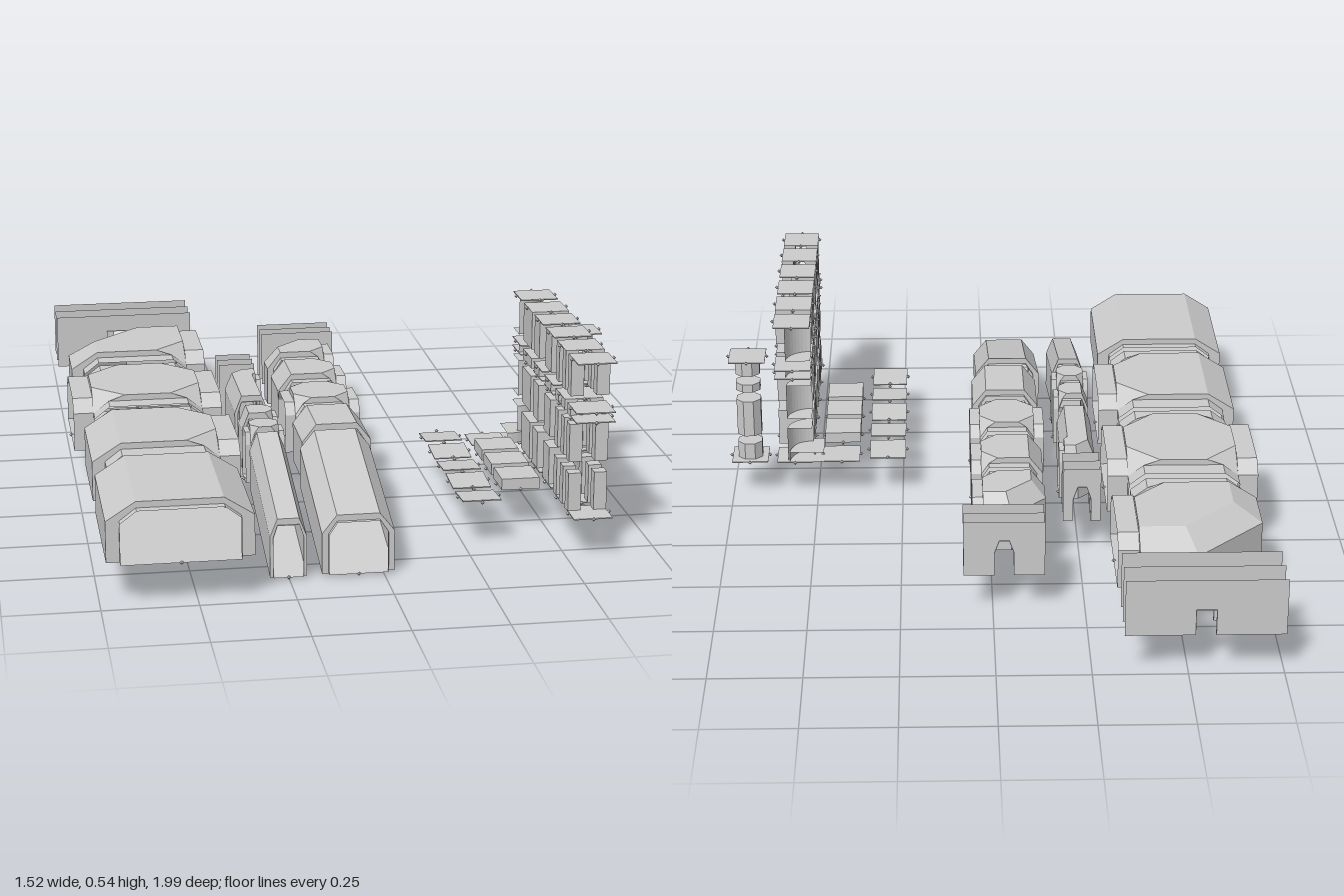
import * as THREE from 'three';

const mat = new THREE.MeshStandardMaterial({ color: 0xcccccc, flatShading: true, side: THREE.DoubleSide });
const BASE = 0.112, H1 = 0.11, H3 = 0.143, H2 = 0.16;

function add(group, geo, name, x = 0, y = 0, z = 0) {
  const m = new THREE.Mesh(geo, mat);
  m.name = name;
  m.position.set(x, y, z);
  group.add(m);
  return m;
}

// Collects quads and fans into one flat-shaded surface
class Surface {
  constructor() { this.p = []; }
  fan(pts) {
    for (let i = 1; i < pts.length - 1; i++) this.p.push(...pts[0], ...pts[i], ...pts[i + 1]);
  }
  strip(a, b) {
    for (let i = 0; i < a.length - 1; i++) this.fan([a[i], a[i + 1], b[i + 1], b[i]]);
  }
  build(drop, zEnd) {
    // Ramps sink linearly towards the front, staying level at the collars
    if (drop) for (let i = 0; i < this.p.length; i += 3) {
      const t = THREE.MathUtils.clamp((this.p[i + 2] + zEnd) / (2 * zEnd), 0, 1);
      this.p[i + 1] -= drop * t;
    }
    const g = new THREE.BufferGeometry();
    g.setAttribute('position', new THREE.Float32BufferAttribute(this.p, 3));
    g.computeVertexNormals();
    return g;
  }
}

function marker(group, x, y, z) {
  add(group, new THREE.OctahedronGeometry(0.006), 'connectionMarker', x, y, z);
}

// Tunnel piece. open lists the sides (+x, +z, -x, -z) with a collar; s is the size of one cell.
function tunnel(parent, name, cx, cz, s, open, { half, drop = 0 } = {}) {
  const a = 0.155 * s, b = 0.19 * s, r = 0.112 * s, c = 0.09 * s, reach = 0.212 * s;
  const end = half ? half - 0.026 * s : a;          // distance of the open end walls
  const tip = half || reach;                        // distance of the collar mouths
  const g = new THREE.Group();
  g.name = name;
  g.position.set(cx, BASE, cz);
  const surf = new Surface(), foot = [], roof = [], sideOf = [];
  // Corner i lies between side i and side i + 1; u and v run along those sides' directions
  const dir = [[1, 0], [0, 1], [-1, 0], [0, -1]];
  for (let i = 0; i < 4; i++) {
    const j = (i + 1) % 4, A = open[i], B = open[j];
    const at = (u, v) => [dir[i][0] * u + dir[j][0] * v, dir[i][1] * u + dir[j][1] * v];
    const put = (f, t, side) => { foot.push(at(...f)); roof.push(at(...t)); sideOf.push(side); };
    if (A && B) {
      put([a, a], [a, a - c], -1);
      put([a, a], [a - c, a], j);
    } else if (!A && !B) {
      put([b, 0], [r, -0.03 * s], -1);
      put([0, b], [-0.03 * s, r], j);
    } else if (A) put([end, b], [end, r], j);
    else put([b, end], [r, end], j);
  }
  const P = ([x, z], y) => [x, y, z];
  foot.forEach((f, i) => {
    const k = (i + 1) % foot.length, side = sideOf[i];
    const outer = [P(f, 0), P(f, H1), P(roof[i], H2), P(roof[k], H2), P(foot[k], H1), P(foot[k], 0)];
    if (side < 0 || !open[side]) {
      // Closed wall with its sloping shoulder
      surf.fan([outer[0], outer[1], outer[4], outer[5]]);
      surf.fan([outer[1], outer[2], outer[3], outer[4]]);
      return;
    }
    // End wall around the arch, then the projecting collar
    const [dx, dz] = dir[side];
    const arch = d => [[-a, 0], [-a, H1], [-r, H3], [r, H3], [a, H1], [a, 0]]
      .map(([w, y]) => [dx * d - dz * w, y, dz * d + dx * w]);
    const inner = arch(end), mouth = arch(tip);
    surf.strip(outer, inner);
    surf.strip(inner, mouth);
    surf.fan([inner[0], inner[5], mouth[5], mouth[0]]);
    marker(g, dx * tip, drop && side === 1 ? -drop : 0, dz * tip);
  });
  surf.fan(roof.map(q => P(q, H2)));
  surf.fan(foot.map(q => P(q, 0)));
  if (drop) {
    // Ramp floor and roof bend with the slope
    add(g, surf.build(drop, end), 'rampShell');
  } else add(g, surf.build(), 'tunnelShell');
  parent.add(g);
}

// End wall: a thin sheet with a doorway and a deep door lining
function doorWall(parent, x, z, width, dw, dh, arched) {
  const w = dw / 2, h = H2, W = width / 2;
  const door = arched
    ? [[-w, 0], [-w, dh * 0.65], [-w * 0.5, dh], [w * 0.5, dh], [w, dh * 0.65], [w, 0]]
    : [[-w, 0], [-w, dh], [w, dh], [w, 0]];
  const outline = [[-W, 0], ...door, [W, 0], [W, h], [-W, h]];
  const g = new THREE.Group();
  g.name = 'doorWall';
  g.position.set(x, BASE, z);
  add(g, new THREE.ShapeGeometry(new THREE.Shape(outline.map(q => new THREE.Vector2(...q)))), 'wallSheet');
  const lining = new Surface();
  lining.strip(door.map(([u, v]) => [u, v, -0.006]), door.map(([u, v]) => [u, v, 0.006]));
  add(g, lining.build(), 'doorLining');
  parent.add(g);
}

const plate = (g, x, y, z, size = 0.105) =>
  add(g, new THREE.BoxGeometry(size, 0.003, size), 'plate', x, y, z);

function edgeMarkers(g, x, y, z, d = 0.056) {
  for (const [i, j] of [[1, 0], [-1, 0], [0, 1], [0, -1]]) marker(g, x + i * d, y, z + j * d);
}

export function createModel() {
  const root = new THREE.Group();
  root.name = 'tunnelKit';
  const STRAIGHT = [0, 1, 0, 1], TEE = [1, 1, 0, 1], CROSS = [1, 1, 1, 1], CORNER = [1, 1, 0, 0];

  // Large tunnels
  const L = -0.542;
  tunnel(root, 'largeStraight', L, 0.772, 1, STRAIGHT, { half: 0.213 });
  tunnel(root, 'largeJunction', L, 0.322, 1, TEE);
  tunnel(root, 'largeCrossing', L, -0.125, 1, CROSS);
  tunnel(root, 'largeCorner', L, -0.577, 1, CORNER);

  // Medium tunnels
  const M = -0.054, ms = 0.505;
  tunnel(root, 'mediumRamp', M - 0.013, 0.642, ms, STRAIGHT, { half: 0.212, drop: 0.106 });
  tunnel(root, 'mediumStraight', M, 0.3, ms, STRAIGHT, { half: 0.105 });
  tunnel(root, 'mediumCrossing', M, 0.06, ms, CROSS);
  tunnel(root, 'mediumJunction', M, -0.18, ms, TEE);
  tunnel(root, 'mediumCorner', M, -0.415, ms, CORNER);

  // Small tunnels
  const S = -0.252, ss = 0.255;
  tunnel(root, 'smallRamp', S, 0.642, ss, STRAIGHT, { half: 0.212, drop: 0.106 });
  tunnel(root, 'smallCrossing', S, 0.35, ss, CROSS);
  tunnel(root, 'smallJunction', S, 0.22, ss, TEE);
  tunnel(root, 'smallStraight', S, -0.015, ss, STRAIGHT, { half: 0.115 });
  tunnel(root, 'smallCorner', S, -0.15, ss, CORNER);

  // End walls: position, width, door width, door height
  [[-0.84, 0.106, 0.11], [-0.918, 0.053, 0.105], [-0.995, 0.053, 0.075]]
    .forEach(([z, w, h]) => doorWall(root, L, z, 0.42, w, h, false));
  [[-0.55, 0.1], [-0.603, 0.053], [-0.657, 0.053]]
    .forEach(([z, w]) => doorWall(root, -0.03, z, 0.22, w, 0.105, true));
  [-0.23, -0.283, -0.337].forEach(z => doorWall(root, -0.256, z, 0.105, 0.05, 0.105, true));

  // Floor tiles
  const rows = [0.11, 0.245, 0.375, 0.507, 0.64, 0.772];
  rows.slice(0, 5).forEach((z, i) => {
    const t = plate(root, 0.293, 0.128, z);
    t.name = 'floorTile';
    t.rotation.x = i % 2 ? 0.08 : -0.08;
    edgeMarkers(root, 0.293, 0.128, z);
  });
  rows.slice(0, 4).forEach((z, i) => {
    plate(root, 0.428, 0.114, z).name = 'floorTile';
    // Raised step, the first one rounded
    if (i === 0) {
      add(root, new THREE.CylinderGeometry(0.1, 0.1, 0.03, 10, 1, false, -Math.PI / 2, Math.PI / 2),
        'roundedStep', 0.48, 0.129, z - 0.052).rotation.y = Math.PI / 2;
    } else add(root, new THREE.BoxGeometry(0.105, 0.03, 0.105), 'raisedStep', 0.428, 0.129, z);
    edgeMarkers(root, 0.428, 0.114, z);
  });

  // Stacked wall segments: footprints as [dx, dz, width, depth] within each cell
  const X = 0.565, k = 0.035;
  const blocks = [
    null,
    [[0, 0, 0.105, 0.105]],
    [[-0.017, -0.017, 0.07, 0.062]],
    [[-0.017, -0.012, 0.07, 0.07]],
    [-k, k].flatMap(u => [-k, k].map(v => [u, v, k, k])),
    [-k, k].map(u => [u, -k, k, k]),
  ];
  const levels = [[0.112, 0.218], [0.25, 0.354], [0.378, 0.404], [0.432, 0.538]];
  rows.forEach((z, i) => {
    for (const [y0, y1] of levels) {
      const h = y1 - y0, y = (y0 + y1) / 2;
      if (blocks[i]) for (const [u, v, w, d] of blocks[i])
        add(root, new THREE.BoxGeometry(w, h, d), 'wallSegment', X + u, y, z + v);
      else add(root, new THREE.CylinderGeometry(0.072, 0.072, h, 10, 1, false, 0, Math.PI / 2),
        'curvedWallSegment', X - 0.052, y, z - 0.045);
    }
    for (const y of [0.112, 0.378, 0.404, 0.538]) {
      plate(root, X, y, z).name = 'wallPlate';
      edgeMarkers(root, X, y, z);
    }
  });

  // Free-standing pillar
  for (const [y0, y1] of [[0.114, 0.165], [0.19, 0.3], [0.33, 0.354], [0.38, 0.43]])
    add(root, new THREE.CylinderGeometry(0.038, 0.038, y1 - y0, 8).rotateY(Math.PI / 8),
      'pillarSegment', 0.697, (y0 + y1) / 2, 0.11);
  for (const y of [0.114, 0.43]) {
    plate(root, 0.697, y, 0.11).name = 'pillarPlate';
    edgeMarkers(root, 0.697, y, 0.11);
  }
  plate(root, 0.69, 0.114, 0.245, 0.03).name = 'smallTile';
  return root;
}
